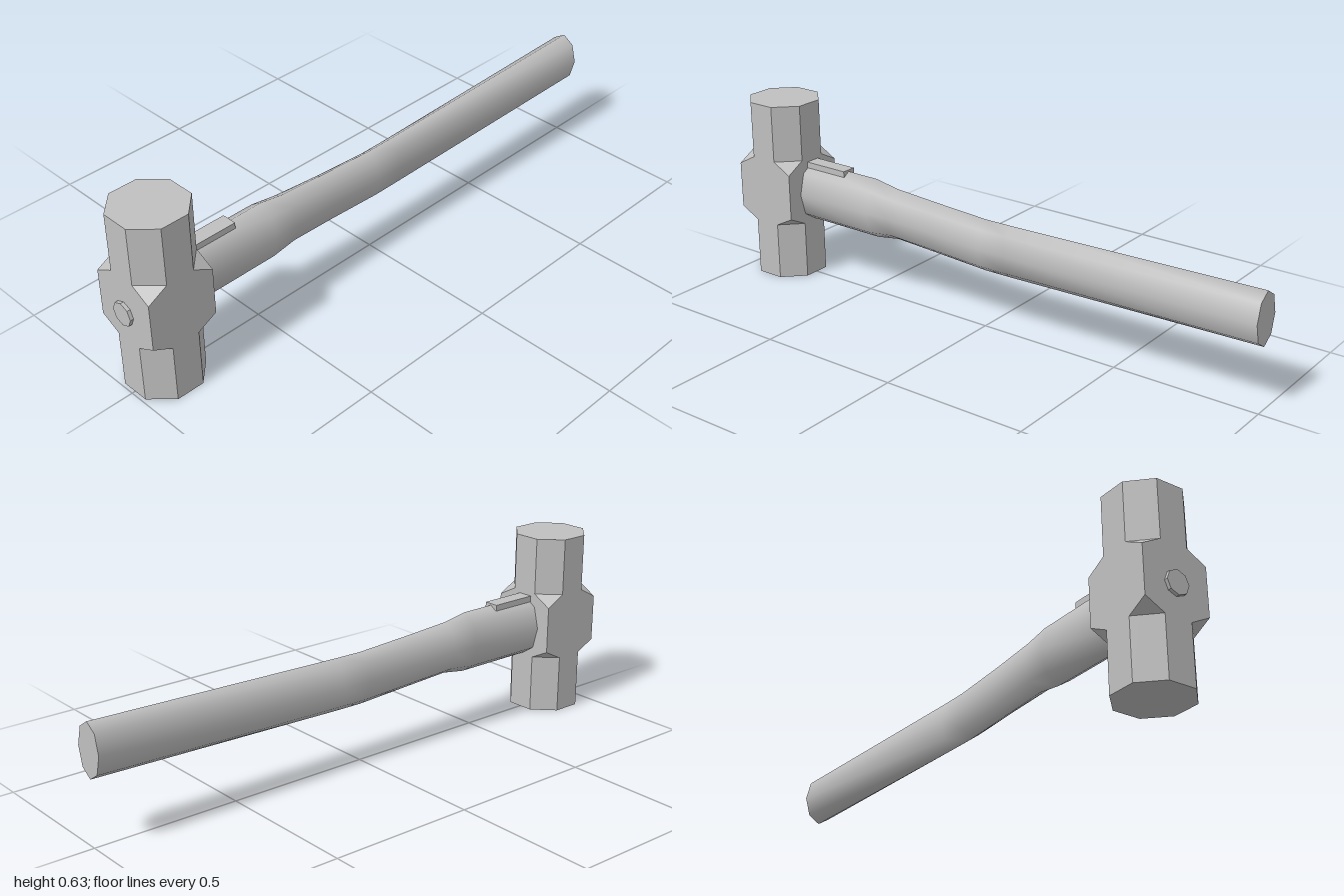
import * as THREE from 'three';
import { ConvexGeometry } from 'three/addons/geometries/ConvexGeometry.js';

export function createModel() {
  const model = new THREE.Group();
  model.name = 'sledgehammer';
  const steel = new THREE.MeshStandardMaterial({ color: 0xc0c0c0 });
  steel.name = 'plain grey';
  const add = (name, geometry, parent = model) => {
    const mesh = new THREE.Mesh(geometry, steel);
    mesh.name = name;
    parent.add(mesh);
    return mesh;
  };

  // Head: an octagonal bar with square corners around the middle
  const head = new THREE.Group();
  head.name = 'head';
  head.position.z = 0.872;
  model.add(head);
  const half = 0.1165, flat = half * Math.tan(Math.PI / 8), height = 0.63;
  const bar = new THREE.CylinderGeometry(half / Math.cos(Math.PI / 8), half / Math.cos(Math.PI / 8), height, 8)
    .rotateY(Math.PI / 8).translate(0, height / 2, 0).toNonIndexed();
  bar.computeVertexNormals();
  add('headBar', bar, head);

  // Corner blocks, bevelled at both ends
  const cornerPoints = [];
  for (const [inner, outer] of [[0.2, 0.235], [0.433, 0.396]]) {
    cornerPoints.push(
      new THREE.Vector3(flat, inner, half),
      new THREE.Vector3(half, inner, flat),
      new THREE.Vector3(half, outer, half));
  }
  for (let i = 0; i < 4; i++) {
    add('headCorner', new ConvexGeometry(cornerPoints), head).rotation.y = i * Math.PI / 2;
  }

  // Handle: oval eight-sided sections [z, bottom, top, half width]
  const sections = [
    [0.80, 0.205, 0.416, 0.066],
    [0.46, 0.205, 0.416, 0.065],
    [0.37, 0.219, 0.400, 0.059],
    [0.20, 0.210, 0.389, 0.052],
    [0.00, 0.199, 0.378, 0.049],
    [-0.10, 0.200, 0.379, 0.049],
    [-1.00, 0.219, 0.398, 0.057],
  ];
  const sides = 8, centreX = -0.003, positions = [], indices = [];
  sections.forEach(([z, bottom, top, width], i) => {
    for (let j = 0; j < sides; j++) {
      const a = j / sides * Math.PI * 2;
      positions.push(centreX + width * Math.cos(a), (bottom + top) / 2 + (top - bottom) / 2 * Math.sin(a), z);
      if (i === sections.length - 1) continue;
      const p = i * sides + j, q = i * sides + (j + 1) % sides;
      indices.push(p, p + sides, q, q, p + sides, q + sides);
    }
  });
  const shaft = new THREE.BufferGeometry();
  shaft.setAttribute('position', new THREE.Float32BufferAttribute(positions, 3));
  shaft.setIndex(indices);
  shaft.computeVertexNormals();
  add('handle', shaft);

  // Flat butt of the handle
  const [endZ, endBottom, endTop, endWidth] = sections[sections.length - 1];
  add('handleEnd', new THREE.CircleGeometry(1, sides).rotateY(Math.PI)
    .scale(endWidth, (endTop - endBottom) / 2, 1)
    .translate(centreX, (endTop + endBottom) / 2, endZ));

  // Small plate on top of the handle, behind the head
  add('handlePlate', new THREE.BoxGeometry(0.052, 0.021, 0.2)).position.set(-0.004, 0.411, 0.687);

  // Tip of the handle showing through the front of the head
  const peg = new THREE.CylinderGeometry(0.04, 0.04, 0.04, 8).rotateX(Math.PI / 2).toNonIndexed();
  peg.computeVertexNormals();
  add('handleTip', peg).position.set(centreX, 0.304, 0.98);

  return model;
}
